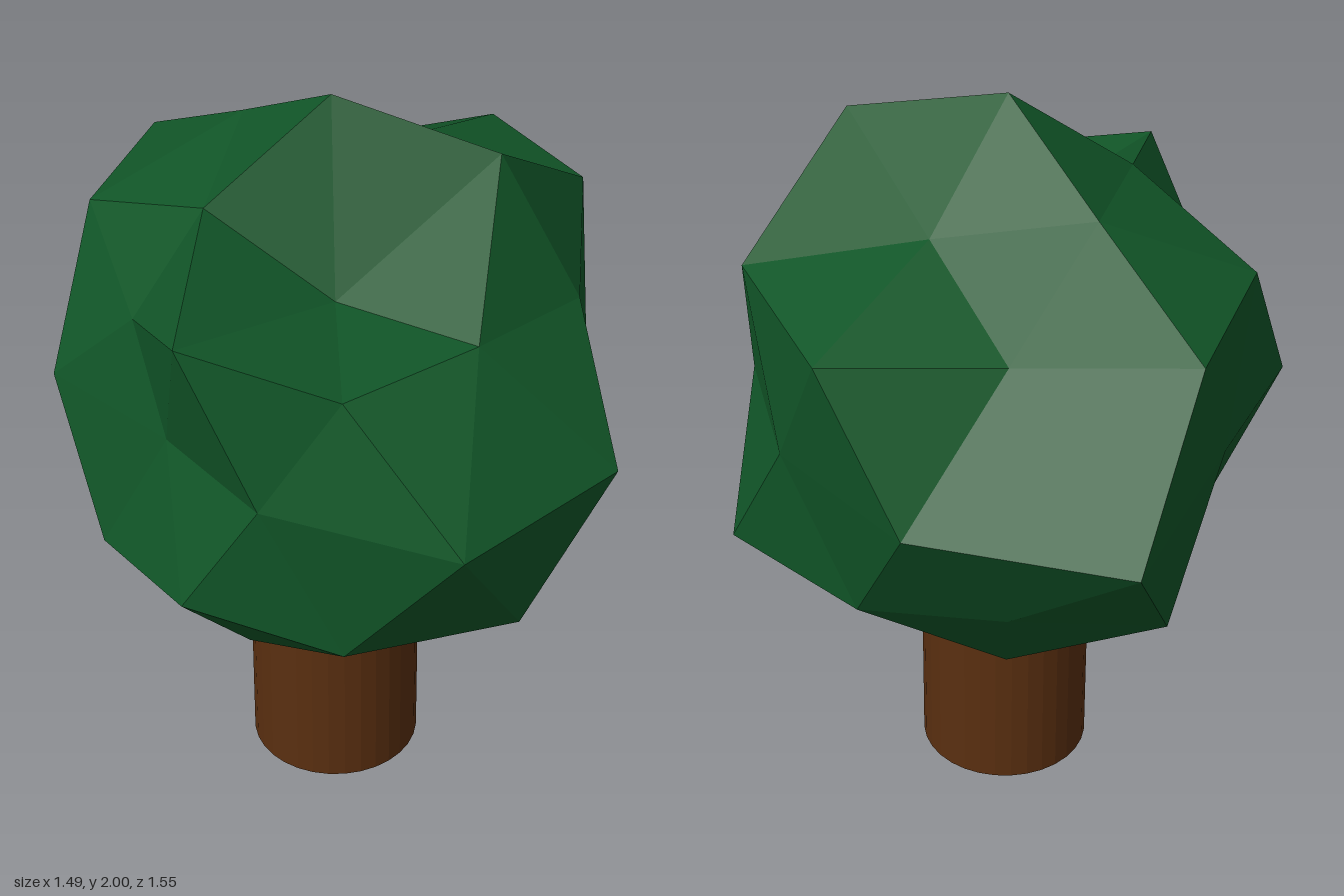
import * as THREE from 'three';
import { ConvexGeometry } from 'three/addons/geometries/ConvexGeometry.js';

const CENTRE = new THREE.Vector3(-0.06, 1.21, 0.05);

// Rings of a once-divided icosahedron: latitude, first azimuth, step (degrees), radius of each corner
const RINGS = [
  [90, 0, 360, [0.79]],
  [58.28, 0, 72, [0.81, 0.38, 0.635, 0.70, 0.62]],
  [31.72, 36, 72, [0.665, 0.783, 0.759, 0.67, 0.809]],
  [26.57, 0, 72, [0.71, 0.72, 0.59, 0.87, 0.874]],
  [0, 18, 36, [0.84, 0.892, 0.66, 0.527, 0.722, 0.67, 0.988, 0.827, 0.70, 0.66]],
  [-26.57, 36, 72, [0.836, 0.76, 0.625, 0.74, 0.842]],
  [-31.72, 0, 72, [0.75, 0.79, 0.75, 0.81, 0.76]],
  [-58.28, 36, 72, [0.754, 0.755, 0.62, 0.77, 0.70]],
  [-90, 0, 360, [0.745]],
];

// Lumpy crown: the faces of the regular ball, with each corner pushed in or out along its own direction
function crownGeometry() {
  const corners = [];
  for (const [lat, start, step, radii] of RINGS) {
    const a = THREE.MathUtils.degToRad(lat);
    radii.forEach((radius, i) => {
      const b = THREE.MathUtils.degToRad(start + step * i);
      const dir = new THREE.Vector3(Math.cos(a) * Math.cos(b), Math.sin(a), Math.cos(a) * Math.sin(b));
      corners.push({ dir, radius });
    });
  }
  const geometry = new ConvexGeometry(corners.map((c) => c.dir));
  const pos = geometry.attributes.position;
  const v = new THREE.Vector3();
  for (let i = 0; i < pos.count; i++) {
    v.fromBufferAttribute(pos, i);
    const corner = corners.find((c) => c.dir.distanceTo(v) < 0.01);
    v.multiplyScalar(corner.radius);
    pos.setXYZ(i, v.x, v.y, v.z);
  }
  geometry.computeVertexNormals();
  return geometry;
}

export function createModel() {
  const leafGreen = new THREE.MeshStandardMaterial({ color: 0x115628, flatShading: true });
  leafGreen.name = 'leafGreen';
  const barkBrown = new THREE.MeshStandardMaterial({ color: 0x5a2f10, flatShading: true });
  barkBrown.name = 'barkBrown';

  const tree = new THREE.Group();
  tree.name = 'tree';

  // Trunk, ending inside the crown
  const height = 0.75;
  const trunk = new THREE.Mesh(new THREE.CylinderGeometry(0.23, 0.23, height, 32), barkBrown);
  trunk.name = 'trunk';
  trunk.position.set(CENTRE.x, height / 2, CENTRE.z);
  tree.add(trunk);

  // Crown
  const crown = new THREE.Mesh(crownGeometry(), leafGreen);
  crown.name = 'crown';
  crown.position.copy(CENTRE);
  tree.add(crown);

  return tree;
}
